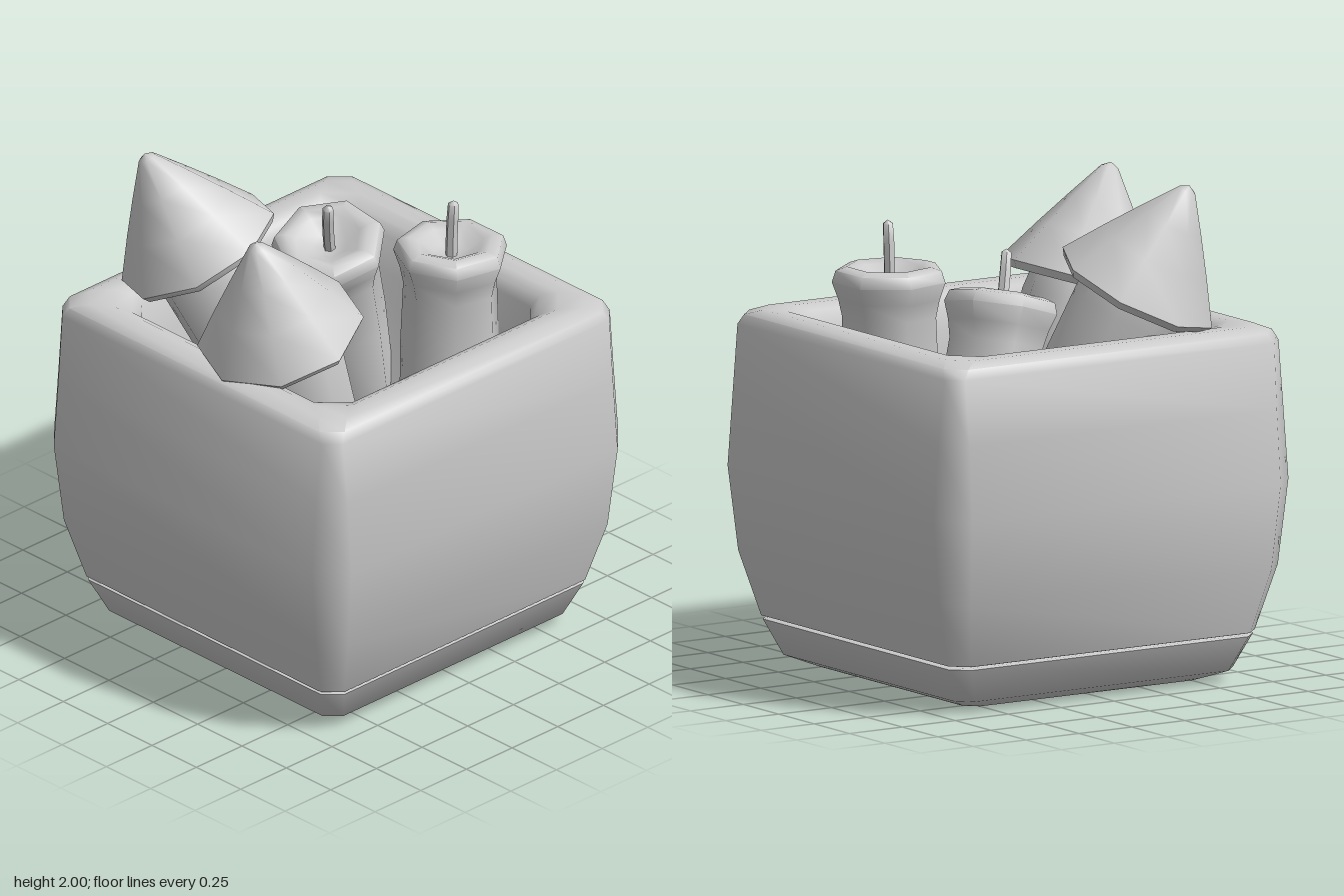
import * as THREE from 'three';
import { toCreasedNormals } from 'three/addons/utils/BufferGeometryUtils.js';

const grey = new THREE.MeshStandardMaterial({ color: 0xcccccc });
grey.name = 'plain grey';

function mesh(name, geometry) {
  const m = new THREE.Mesh(toCreasedNormals(geometry, 1.0), grey);
  m.name = name;
  return m;
}

// Lofts square rings with cut corners; each ring is [y, half width, corner cut]
function loftSquares(rings) {
  const positions = [], index = [];
  for (const [y, h, c] of rings) {
    const k = h - c;
    for (const [x, z] of [[h, -k], [h, k], [k, h], [-k, h], [-h, k], [-h, -k], [-k, -h], [k, -h]]) {
      positions.push(x, y, z);
    }
  }
  for (let r = 0; r < rings.length - 1; r++) {
    for (let i = 0; i < 8; i++) {
      const a = r * 8 + i, b = r * 8 + (i + 1) % 8;
      index.push(a, a + 8, b + 8, a, b + 8, b);
    }
  }
  const g = new THREE.BufferGeometry();
  g.setAttribute('position', new THREE.Float32BufferAttribute(positions, 3));
  g.setIndex(index);
  return g;
}

// Turned shape from [radius, height] pairs, listed from the bottom up
function turned(profile, sides) {
  return new THREE.LatheGeometry(profile.map(([r, y]) => new THREE.Vector2(r, y)), sides);
}

// Thin cord, bent sideways towards its tip
function cord(name, length, bend) {
  const r = 0.024;
  const g = turned([[0, 0], [r, 0], [r, length / 3], [r, length * 2 / 3], [r * 0.9, length - 0.015], [0, length]], 6);
  const p = g.attributes.position;
  for (let i = 0; i < p.count; i++) {
    const t = p.getY(i) / length;
    p.setX(i, p.getX(i) + bend * t * t);
  }
  return mesh(name, g);
}

// Stands a group at a point with its own y axis along the given direction
function lean(group, from, axis) {
  group.position.set(...from);
  group.quaternion.setFromUnitVectors(new THREE.Vector3(0, 1, 0), new THREE.Vector3(...axis).normalize());
  return group;
}

// Candle with a flared, hollowed top
function candle(name, height, wickBend) {
  const g = new THREE.Group();
  g.name = name;
  const h = height;
  g.add(mesh('wax', turned([
    [0, 0], [0.2, 0], [0.2, h * 0.45], [0.19, h - 0.2], [0.205, h - 0.13], [0.23, h - 0.06],
    [0.215, h - 0.015], [0.17, h], [0.13, h - 0.015], [0.07, h - 0.055], [0, h - 0.07],
  ], 7)));
  const wick = cord('wick', 0.26, wickBend);
  wick.position.y = h - 0.08;
  g.add(wick);
  return g;
}

// Rocket with a round tube, pointed cap and short fuse; its origin is the middle of the cap rim
function rocket(name, tubeLength, fuseTurn) {
  const g = new THREE.Group();
  g.name = name;
  g.add(mesh('tube', turned([
    [0, -tubeLength], [0.2, -tubeLength], [0.21, -tubeLength * 0.5], [0.22, -0.1], [0.2, 0.02],
  ], 8)));
  g.add(mesh('cap', turned([
    [0, -0.01], [0.2, -0.01], [0.315, -0.03], [0.335, 0], [0.225, 0.17], [0.13, 0.31], [0.035, 0.445], [0, 0.465],
  ], 8)));
  const fuse = cord('fuse', 0.14, 0.02);
  fuse.rotation.set(-1.5, 0, fuseTurn, 'YXZ');
  fuse.position.set(-0.07, -tubeLength + 0.08, -0.15);
  g.add(fuse);
  return g;
}

export function createModel() {
  const model = new THREE.Group();
  model.name = 'boxOfCandlesAndRockets';

  // Foot of the box
  model.add(mesh('boxFoot', loftSquares([
    [0, 0, 0], [0, 0.55, 0.05], [0.012, 0.58, 0.05], [0.045, 0.66, 0.06],
    [0.185, 0.72, 0.065], [0.19, 0.705, 0.06], [0.19, 0, 0],
  ])));

  // Bulging walls, rounded rim, hollow inside and floor
  model.add(mesh('box', loftSquares([
    [0.195, 0, 0], [0.195, 0.705, 0.06], [0.2, 0.725, 0.065], [0.46, 0.8, 0.09], [0.8, 0.838, 0.11],
    [1.1, 0.815, 0.09], [1.36, 0.79, 0.06], [1.4, 0.775, 0.07], [1.422, 0.725, 0.08],
    [1.422, 0.665, 0.1], [1.4, 0.62, 0.11], [1.35, 0.595, 0.11], [1.2, 0.575, 0.1],
    [0.76, 0.5, 0.06], [0.76, 0, 0],
  ])));

  // Candles at the back
  model.add(lean(candle('uprightCandle', 0.87, 0.01), [0.24, 0.76, -0.39], [0, 1, -0.01]));
  model.add(lean(candle('leaningCandle', 0.83, 0.02), [-0.34, 0.77, -0.38], [0.13, 0.8, 0.22]));

  // Rockets at the front
  model.add(lean(rocket('rightRocket', 0.84, 0.5), [-0.48, 1.58, 0.29], [-0.15, 0.42, 0.15]));
  model.add(lean(rocket('leftRocket', 0.76, 0.1), [0.15, 1.51, 0.45], [0, 0.42, 0.13]));

  return model;
}
